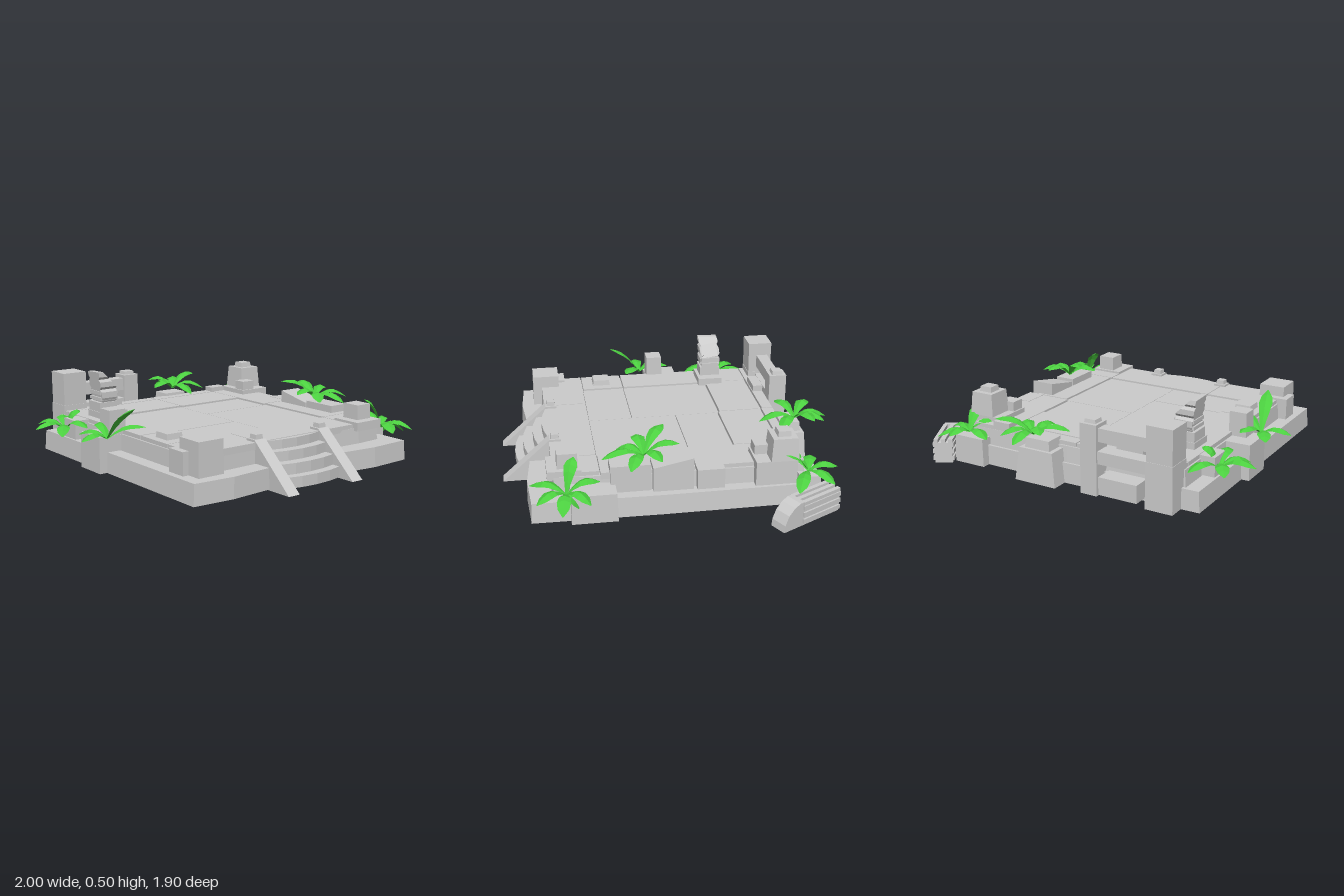
import * as THREE from 'three';

const stone = new THREE.MeshStandardMaterial({ color: 0xcccccc, flatShading: true });
const shell = new THREE.MeshStandardMaterial({ color: 0xcccccc, flatShading: true, side: THREE.DoubleSide });
const green = new THREE.MeshStandardMaterial({ color: 0x4cd040, flatShading: true, side: THREE.DoubleSide });

function addMesh(parent, name, geometry, material = stone) {
  const mesh = new THREE.Mesh(geometry, material);
  mesh.name = name;
  parent.add(mesh);
  return mesh;
}

function indexedGeometry(pos, index) {
  const geometry = new THREE.BufferGeometry();
  geometry.setAttribute('position', new THREE.Float32BufferAttribute(pos, 3));
  geometry.setIndex(index);
  geometry.computeVertexNormals();
  return geometry;
}

// Box between limits; the top can be narrowed by a factor
function block(parent, name, [x0, x1], [y0, y1], [z0, z1], taper = 1) {
  const geometry = new THREE.BoxGeometry(x1 - x0, y1 - y0, z1 - z0);
  const p = geometry.attributes.position;
  for (let i = 0; i < p.count; i++) {
    if (p.getY(i) > 0) p.setXYZ(i, p.getX(i) * taper, p.getY(i), p.getZ(i) * taper);
  }
  addMesh(parent, name, geometry).position.set((x0 + x1) / 2, (y0 + y1) / 2, (z0 + z1) / 2);
}

// Side profile of [z, y] points given width along x
function sideProfile(parent, name, points, x, width) {
  const shape = new THREE.Shape(points.map(([z, y]) => new THREE.Vector2(z, y)));
  const geometry = new THREE.ExtrudeGeometry(shape, { depth: width, bevelEnabled: false });
  geometry.translate(0, 0, -width / 2).rotateY(-Math.PI / 2).translate(x, 0, 0);
  return addMesh(parent, name, geometry);
}

// Loft through closed loops of [x, z] points; a loop is raised to `gap` between the stair cheeks
function loft(loops, capped) {
  const n = loops[0].points.length, pos = [], index = [];
  loops.forEach(({ y, gap = y, points }) => points.forEach(([x, z]) =>
    pos.push(x, z > 0.5 && x > -0.285 && x < 0.185 ? gap : y, z)));
  for (let k = 0; k < loops.length - 1; k++) {
    for (let i = 0; i < n; i++) {
      const a = k * n + i, b = k * n + (i + 1) % n;
      index.push(a, b, b + n, a, b + n, a + n);
    }
  }
  if (capped) {
    const last = (loops.length - 1) * n, centre = pos.length / 3;
    pos.push(-0.04, loops[loops.length - 1].y, 0);
    for (let i = 0; i < n; i++) index.push(centre, last + i, last + (i + 1) % n);
  }
  return indexedGeometry(pos, index);
}

// One arching, folded leaf from the crown to a tip that lies `end` above the crown
function leaf(dx, dz, end, arch) {
  const len = Math.hypot(dx, dz), sx = -dz / len, sz = dx / len;
  const pos = [], index = [], widths = [0.006, 0.018, 0.031, 0.038, 0.03, 0.003];
  widths.forEach((w, i) => {
    const t = i / 5, y = end * t + arch * Math.sin(Math.PI * t);
    for (const s of [-1, 0, 1]) pos.push(dx * t + sx * w * s, y - Math.abs(s) * w * 0.4, dz * t + sz * w * s);
    if (i === 5) return;
    for (const a of [i * 3, i * 3 + 1]) index.push(a, a + 1, a + 4, a, a + 4, a + 3);
  });
  return indexedGeometry(pos, index);
}

// Tips are [x, z, height above the crown]
function palm(parent, x, y, z, arch, tips) {
  const plant = new THREE.Group();
  plant.name = 'palmPlant';
  plant.position.set(x, y, z);
  tips.forEach(([tx, tz, end]) => addMesh(plant, 'palmLeaf', leaf(tx - x, tz - z, end, arch), green));
  parent.add(plant);
}

export function createModel() {
  const model = new THREE.Group();
  model.name = 'ruinedPlatform';

  // Outer ledge and raised tier, hollow underneath and open behind the stairs
  const outer = [[-0.81, 0.81], [-0.57, 0.825], [-0.29, 0.8], [-0.28, 0.8], [0.18, 0.8], [0.19, 0.8], [0.45, 0.825],
    [0.71, 0.81], [0.72, 0.1], [0.715, -0.72], [0, -0.725], [-0.81, -0.71]];
  const ledge = outer.map(([x, z]) => [x * 0.99, z * 0.995]);
  const inner = [[-0.72, 0.68], [-0.57, 0.7], [-0.29, 0.69], [-0.28, 0.69], [0.18, 0.69], [0.19, 0.69], [0.45, 0.7],
    [0.61, 0.69], [0.64, 0.1], [0.65, -0.7], [0, -0.71], [-0.72, -0.69]];
  const top = inner.map(([x, z]) => [x * 0.985, z * 0.985]);
  addMesh(model, 'ledge', loft([{ y: 0.01, gap: 0.12, points: outer }, { y: 0.125, points: ledge },
    { y: 0.125, points: inner }], false), shell);
  addMesh(model, 'raisedTier', loft([{ y: 0.05, gap: 0.12, points: inner }, { y: 0.215, points: top }], true), shell);

  // Paving: rim slabs around slightly lower centre slabs, with open joints
  const paving = [
    [-0.7, -0.503, -0.62, 0.174], [-0.7, -0.503, 0.182, 0.43], [-0.7, -0.288, 0.435, 0.69],
    [-0.285, 0.405, 0.435, 0.685], [0.41, 0.6, 0.435, 0.69], [0.415, 0.625, -0.085, 0.43],
    [0.4, 0.625, -0.615, -0.093], [-0.5, -0.052, -0.615, -0.36], [-0.048, 0.396, -0.61, -0.35],
    [-0.7, -0.06, -0.69, -0.625], [-0.055, 0.63, -0.69, -0.62],
  ];
  paving.forEach(([x0, x1, z0, z1]) => block(model, 'rimSlab', [x0, x1], [0.2, 0.238], [z0, z1], 0.997));
  const centre = [[-0.5, -0.052, -0.354, 0.174], [-0.5, -0.052, 0.181, 0.432], [-0.05, 0.395, -0.345, -0.09],
    [-0.05, 0.412, -0.086, 0.432]];
  centre.forEach(([x0, x1, z0, z1]) => block(model, 'floorSlab', [x0, x1], [0.2, 0.229], [z0, z1]));

  // Curved stairs
  [[0.88, 0.07], [0.83, 0.13], [0.77, 0.185], [0.715, 0.235]].forEach(([z, y]) => {
    const shape = new THREE.Shape();
    shape.moveTo(-0.25, -z + 0.1);
    shape.lineTo(-0.25, -z + 0.03);
    shape.quadraticCurveTo(-0.05, -z - 0.03, 0.15, -z + 0.03);
    shape.lineTo(0.15, -z + 0.1);
    shape.quadraticCurveTo(-0.05, -z + 0.04, -0.25, -z + 0.1);
    const geometry = new THREE.ExtrudeGeometry(shape, { depth: 0.06, bevelEnabled: false, curveSegments: 4 });
    geometry.rotateX(-Math.PI / 2).translate(0, y - 0.06, 0);
    addMesh(model, 'stairStep', geometry);
  });

  // Sloped stair cheeks with small caps
  for (const x of [-0.28, 0.175]) {
    sideProfile(model, 'stairCheek', [[0.955, 0.005], [0.68, 0.25], [0.615, 0.25], [0.615, 0.005]], x, 0.074);
    block(model, 'cheekCap', [x - 0.025, x + 0.025], [0.25, 0.275], [0.625, 0.675], 0.9);
  }

  // Rear left tower, rear pillar and the beams between them
  block(model, 'rearTowerBase', [-0.705, -0.545], [0.01, 0.27], [-0.805, -0.65], 0.97);
  block(model, 'rearTower', [-0.7, -0.55], [0.27, 0.465], [-0.8, -0.655], 1.02);
  block(model, 'rearPillar', [-0.25, -0.15], [0.01, 0.405], [-0.795, -0.69]);
  block(model, 'rearPillarCap', [-0.235, -0.165], [0.405, 0.425], [-0.775, -0.71], 0.9);
  block(model, 'upperBeam', [-0.56, -0.24], [0.31, 0.385], [-0.775, -0.705]);
  block(model, 'lowerBeam', [-0.56, -0.24], [0.19, 0.26], [-0.785, -0.7]);
  block(model, 'rearFooting', [-0.5, -0.27], [0.03, 0.13], [-0.81, -0.7]);
  block(model, 'rearBlock', [-0.47, -0.31], [0.23, 0.275], [-0.69, -0.63]);

  // Rear buttresses
  block(model, 'rearButtress', [0, 0.26], [0.01, 0.2], [-0.82, -0.68], 0.82);
  block(model, 'rearButtressTop', [0.05, 0.21], [0.2, 0.255], [-0.79, -0.67], 0.92);
  block(model, 'rearCornerBlock', [0.52, 0.72], [0.01, 0.17], [-0.77, -0.65], 0.95);
  block(model, 'rearCornerStone', [0.39, 0.5], [0.22, 0.265], [-0.69, -0.62]);

  // Right rear turret
  block(model, 'turretPlinth', [0.49, 0.69], [0.1, 0.265], [-0.64, -0.41]);
  block(model, 'turret', [0.54, 0.695], [0.265, 0.395], [-0.645, -0.49], 0.88);
  block(model, 'turretCap', [0.575, 0.655], [0.395, 0.425], [-0.605, -0.53], 0.9);
  block(model, 'turretStep', [0.5, 0.59], [0.25, 0.32], [-0.5, -0.42]);

  // Front corner blocks and left edge stones
  block(model, 'frontLeftBlock', [-0.73, -0.57], [0.12, 0.31], [0.58, 0.745], 0.97);
  block(model, 'frontLeftStone', [-0.765, -0.64], [0.12, 0.25], [0.54, 0.66]);
  block(model, 'frontRightBlock', [0.465, 0.57], [0.23, 0.335], [0.545, 0.66], 0.95);
  block(model, 'frontRightStone', [0.41, 0.6], [0.2, 0.25], [0.53, 0.715]);
  block(model, 'lowStone', [-0.655, -0.55], [0.23, 0.27], [0.255, 0.365], 0.9);
  block(model, 'leftButtress', [-0.855, -0.7], [0.01, 0.215], [-0.2, 0.005], 0.97);
  block(model, 'leftPost', [-0.785, -0.68], [0.2, 0.355], [-0.1, 0], 0.96);
  block(model, 'leftRearStone', [-0.79, -0.68], [0.12, 0.235], [-0.5, -0.37]);

  // Broken parapet on the right edge
  block(model, 'rightButtress', [0.6, 0.755], [0.01, 0.175], [0.35, 0.6], 0.97);
  block(model, 'parapetFront', [0.53, 0.65], [0.12, 0.28], [0.16, 0.38]);
  sideProfile(model, 'parapetMiddle', [[0.15, 0.12], [0.15, 0.265], [-0.07, 0.31], [-0.07, 0.12]], 0.6, 0.14);
  block(model, 'parapetRear', [0.58, 0.68], [0.12, 0.24], [-0.24, -0.09]);

  // Broken carved stone on a pedestal: scalloped sides, slanted broken face
  block(model, 'carvingPedestal', [-0.65, -0.47], [0.23, 0.275], [-0.46, -0.31]);
  block(model, 'carvingBase', [-0.645, -0.53], [0.275, 0.33], [-0.455, -0.33]);
  const wavy = [[-0.34, 0.33], [-0.33, 0.355], [-0.33, 0.39], [-0.343, 0.405], [-0.33, 0.42], [-0.33, 0.45],
    [-0.343, 0.465], [-0.33, 0.48], [-0.33, 0.51], [-0.45, 0.505], [-0.455, 0.48], [-0.442, 0.465],
    [-0.455, 0.45], [-0.455, 0.42], [-0.442, 0.405], [-0.455, 0.39], [-0.455, 0.355], [-0.445, 0.33]];
  const carving = sideProfile(model, 'carvedStone', wavy, -0.585, 0.11).geometry.attributes.position;
  for (let i = 0; i < carving.count; i++) {
    const y = carving.getY(i);
    if (carving.getX(i) > -0.585) carving.setX(i, -0.53 - Math.max(0, y - 0.42));
    else carving.setX(i, -0.625 - 0.025 * (y - 0.33) / 0.18);
  }
  for (const y of [0.34, 0.375]) block(model, 'carvedBand', [-0.64, -0.52], [y, y + 0.02], [-0.45, -0.335]);

  // Fallen fluted stone with a rounded end
  const fallen = new THREE.Group();
  fallen.name = 'fallenStone';
  sideProfile(fallen, 'fallenBody', [[-0.2, 0], [0.2, 0], [0.195, 0.04], [0.17, 0.09], [0.13, 0.125], [0.09, 0.14],
    [0.06, 0.14], [0.06, 0.12], [-0.2, 0.12]], 0, 0.1);
  for (const x of [-0.042, 0, 0.042]) block(fallen, 'topFlute', [x - 0.012, x + 0.012], [0.11, 0.14], [-0.2, 0.07]);
  for (const s of [-1, 1]) {
    for (const y of [0.015, 0.055, 0.095]) {
      block(fallen, 'sideFlute', [s * 0.052 - 0.008, s * 0.052 + 0.008], [y, y + 0.025], [-0.2, 0.07]);
    }
  }
  fallen.position.set(0.86, 0.005, -0.645);
  fallen.rotation.y = 0.49;
  model.add(fallen);

  // Palms
  palm(model, 0.17, 0.27, -0.76, 0.05, [[0.17, -0.95, 0], [0.05, -0.87, 0.05], [-0.02, -0.69, 0.03],
    [0.17, -0.55, -0.01], [0.33, -0.64, 0], [0.38, -0.82, 0.07], [0.28, -0.91, 0.02]]);
  palm(model, 0.66, 0.18, -0.71, 0.04, [[0.49, -0.77, 0], [0.55, -0.62, 0.06], [0.67, -0.87, 0.02],
    [0.8, -0.82, -0.02], [0.85, -0.61, -0.03], [0.69, -0.57, 0.12]]);
  palm(model, -0.8, 0.17, -0.47, 0.05, [[-0.72, -0.67, 0.03], [-0.9, -0.62, 0.02], [-1, -0.45, 0.03],
    [-0.91, -0.31, 0], [-0.77, -0.27, 0.04], [-0.7, -0.47, 0.1]]);
  palm(model, -0.82, 0.21, 0.03, 0.04, [[-0.99, 0.05, 0.01], [-0.91, -0.12, 0.01], [-0.77, -0.15, 0.05],
    [-0.64, 0.14, 0.06], [-0.77, 0.23, 0.19]]);
  palm(model, 0.57, 0.3, 0.19, 0.05, [[0.6, 0, 0.07], [0.41, 0.06, 0.1], [0.4, 0.22, 0.04],
    [0.48, 0.33, 0], [0.59, 0.42, 0], [0.75, 0.28, 0], [0.72, 0.11, 0.03]]);
  palm(model, 0.71, 0.17, 0.62, 0.05, [[0.7, 0.44, 0.06], [0.84, 0.5, 0], [0.87, 0.65, -0.04],
    [0.8, 0.78, 0], [0.6, 0.81, 0.01], [0.61, 0.57, 0.17], [0.76, 0.56, -0.06]]);

  return model;
}
